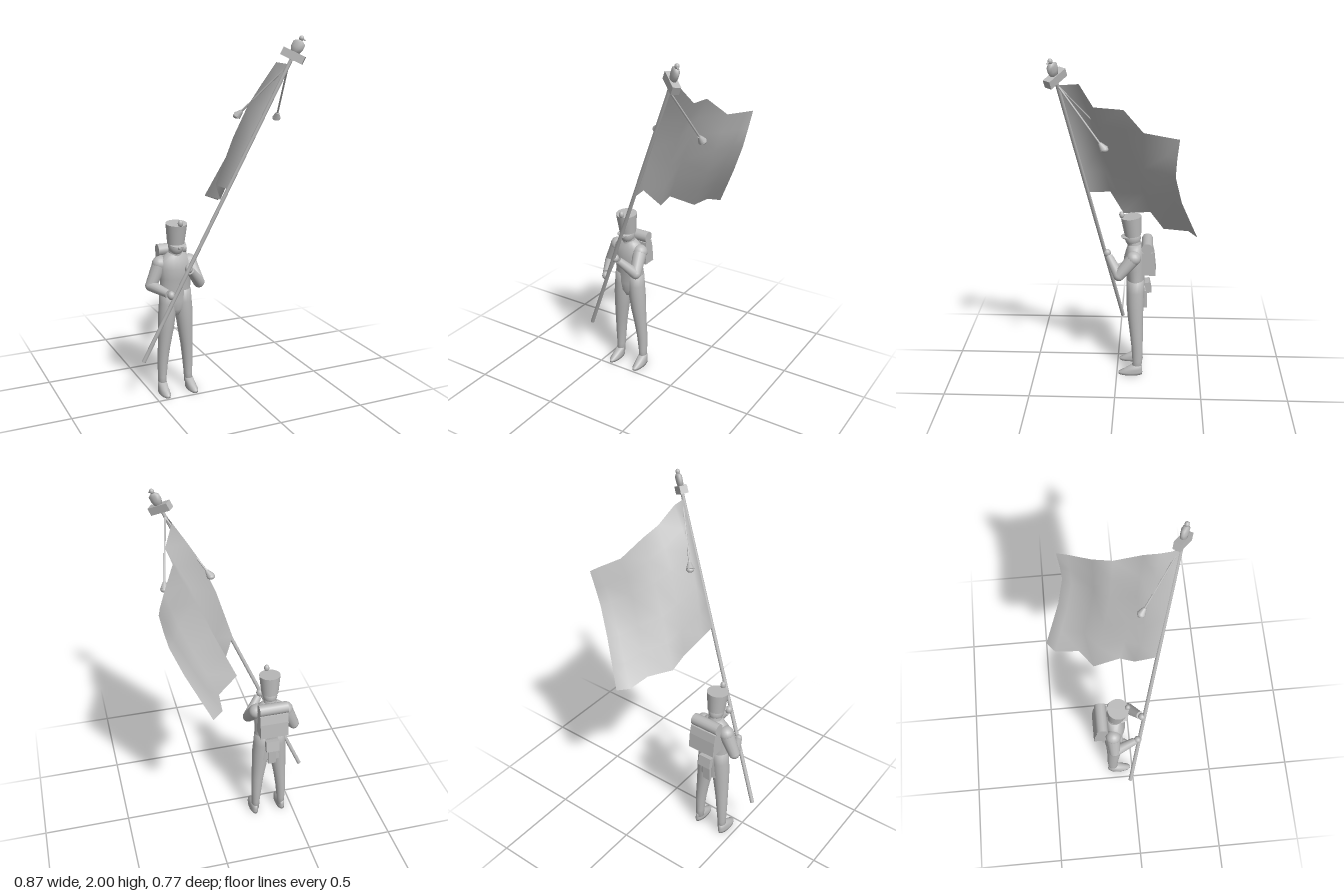
import * as THREE from 'three';

const V = (x, y, z) => new THREE.Vector3(x, y, z);

export function createModel() {
  const root = new THREE.Group();
  const grey = new THREE.MeshStandardMaterial({ color: 0xbababa, side: THREE.DoubleSide });
  grey.name = 'plain grey';

  const add = (name, geo, parent = root) => {
    const m = new THREE.Mesh(geo, grey);
    m.name = name;
    parent.add(m);
    return m;
  };
  const group = (name) => {
    const g = new THREE.Group();
    g.name = name;
    root.add(g);
    return g;
  };
  // Smooth body through elliptical rings [x, y, z, rx, rz], listed upwards
  const loft = (name, rings, parent, n = 20) => {
    const pos = [], idx = [];
    const first = rings[0], last = rings[rings.length - 1];
    const all = [[...first.slice(0, 3), 0.001, 0.001], ...rings, [...last.slice(0, 3), 0.001, 0.001]];
    all.forEach(([x, y, z, rx, rz], j) => {
      for (let i = 0; i < n; i++) {
        const a = (i / n) * Math.PI * 2;
        pos.push(x + rx * Math.cos(a), y, z + rz * Math.sin(a));
        if (j === all.length - 1) continue;
        const p = j * n + i, q = j * n + ((i + 1) % n);
        idx.push(p, p + n, q, q, p + n, q + n);
      }
    });
    const g = new THREE.BufferGeometry();
    g.setAttribute('position', new THREE.Float32BufferAttribute(pos, 3));
    g.setIndex(idx);
    g.computeVertexNormals();
    return add(name, g, parent);
  };
  // Tapered rod from a to b
  const rod = (name, a, b, ra, rb, parent) => {
    const m = add(name, new THREE.CylinderGeometry(rb, ra, a.distanceTo(b), 14), parent);
    m.position.copy(a).lerp(b, 0.5);
    m.quaternion.setFromUnitVectors(V(0, 1, 0), b.clone().sub(a).normalize());
    return m;
  };
  const ball = (name, p, rx, ry, rz, parent) => {
    const m = add(name, new THREE.SphereGeometry(1, 16, 12), parent);
    m.position.copy(p);
    m.scale.set(rx, ry, rz);
    return m;
  };
  const box = (name, p, w, h, d, parent) => {
    const m = add(name, new THREE.BoxGeometry(w, h, d), parent);
    m.position.copy(p);
    return m;
  };
  const CX = 0.147;

  // Legs and shoes
  for (const s of [-1, 1]) {
    const side = s > 0 ? 'left' : 'right';
    loft(side + 'Leg', [
      [CX + s * 0.08, 0.035, -0.122, 0.023, 0.029],
      [CX + s * 0.079, 0.09, -0.124, 0.024, 0.029],
      [CX + s * 0.076, 0.18, -0.123, 0.03, 0.034],
      [CX + s * 0.069, 0.27, -0.117, 0.035, 0.038],
      [CX + s * 0.058, 0.38, -0.111, 0.044, 0.046],
      [CX + s * 0.051, 0.47, -0.109, 0.05, 0.051],
      [CX + s * 0.046, 0.54, -0.109, 0.049, 0.052],
      [CX + s * 0.042, 0.61, -0.11, 0.048, 0.05]]);
    loft(side + 'Shoe', [
      [CX + s * 0.084, 0, -0.083, 0.027, 0.072],
      [CX + s * 0.084, 0.015, -0.083, 0.028, 0.073],
      [CX + s * 0.083, 0.034, -0.1, 0.026, 0.054],
      [CX + s * 0.081, 0.06, -0.12, 0.024, 0.032]]);
  }

  // Coat, blending into the hips
  loft('coat', [
    [CX, 0.465, -0.108, 0.02, 0.03],
    [CX, 0.5, -0.108, 0.06, 0.046],
    [CX, 0.55, -0.109, 0.09, 0.052],
    [CX, 0.61, -0.11, 0.089, 0.053],
    [CX, 0.68, -0.105, 0.088, 0.059],
    [CX, 0.74, -0.102, 0.098, 0.06],
    [CX, 0.785, -0.105, 0.092, 0.052],
    [CX, 0.812, -0.106, 0.06, 0.042],
    [CX, 0.825, -0.105, 0.04, 0.036]]);
  // Coat skirt wrapping the back of the hips
  const skirt = add('coatSkirt',
    new THREE.CylinderGeometry(0.093, 0.098, 0.16, 20, 1, true, Math.PI * 0.6, Math.PI * 0.8));
  skirt.position.set(CX, 0.515, -0.108);
  skirt.scale.z = 0.6;
  // Small hanging tail below the pouch
  box('coatTail', V(CX, 0.475, -0.17), 0.045, 0.11, 0.02);

  // Neck and head
  const head = group('head');
  rod('collar', V(CX, 0.795, -0.105), V(CX, 0.84, -0.1), 0.042, 0.037, head);
  ball('face', V(CX, 0.862, -0.093), 0.042, 0.052, 0.047, head);
  ball('nose', V(CX, 0.862, -0.043), 0.007, 0.011, 0.011, head);

  // Tall hat, flaring and tipped forward
  const hat = group('hat');
  hat.position.set(CX, 0.88, -0.094);
  hat.rotation.x = 0.1;
  add('hatBody', new THREE.CylinderGeometry(0.06, 0.048, 0.115, 24), hat).position.y = 0.057;
  ball('hatVisor', V(0, -0.002, 0.03), 0.044, 0.005, 0.04, hat);
  ball('pompon', V(0.003, 0.13, 0.052), 0.015, 0.02, 0.015, hat);

  // Arms gripping the pole
  const arm = (side, shoulder, elbow, hand) => {
    const g = group(side + 'Arm');
    ball('shoulder', shoulder, 0.044, 0.042, 0.043, g);
    rod('upperArm', shoulder, elbow, 0.042, 0.032, g);
    ball('elbow', elbow, 0.032, 0.032, 0.032, g);
    const wrist = elbow.clone().lerp(hand, 0.85);
    rod('forearm', elbow, wrist, 0.032, 0.022, g);
    ball('hand', hand, 0.021, 0.024, 0.022, g);
  };
  arm('left', V(0.226, 0.765, -0.1), V(0.25, 0.665, -0.015), V(0.162, 0.77, 0.056));
  arm('right', V(0.06, 0.765, -0.118), V(0.005, 0.645, -0.115), V(0.07, 0.622, 0.026));

  // Pack, deeper towards the bottom, with rolled blanket on top
  const pack = group('backpack');
  const side = new THREE.Shape([[-0.15, 0.66], [-0.15, 0.8], [-0.208, 0.8], [-0.22, 0.75], [-0.229, 0.66]]
    .map(([z, y]) => new THREE.Vector2(z, y)));
  const packBody = add('packBody',
    new THREE.ExtrudeGeometry(side, { depth: 0.164, bevelEnabled: false }).rotateY(-Math.PI / 2), pack);
  packBody.position.x = 0.234;
  rod('blanketRoll', V(0.068, 0.826, -0.178), V(0.234, 0.826, -0.178), 0.033, 0.033, pack);
  // Belt pouch
  const pouch = box('pouch', V(0.15, 0.56, -0.184), 0.078, 0.065, 0.03);
  pouch.rotation.x = 0.2;

  // Pole
  const base = V(-0.077, 0.24, -0.026), tip = V(0.65, 1.89, 0.268);
  rod('pole', base, tip, 0.0115, 0.0095);

  // Finial: crossways block with a small bird-shaped body on top
  const up = tip.clone().sub(base).normalize();
  const along = V(0.1, -0.06, 0.08);
  along.addScaledVector(up, -along.dot(up)).normalize();
  const finial = group('finial');
  finial.position.copy(tip);
  finial.quaternion.setFromRotationMatrix(
    new THREE.Matrix4().makeBasis(along, up, along.clone().cross(up)));
  box('block', V(0, 0.01, 0), 0.122, 0.042, 0.042, finial);
  loft('birdBody', [
    [0, 0.03, 0, 0.024, 0.016], [0, 0.055, 0, 0.033, 0.018],
    [0, 0.082, 0, 0.032, 0.018], [0, 0.095, 0, 0.012, 0.012]], finial, 12);
  ball('birdHead', V(0, 0.106, 0.002), 0.013, 0.014, 0.012, finial);
  rod('beak', V(0, 0.107, 0), V(0.022, 0.104, 0.004), 0.007, 0.003, finial);

  // Flag: ruled between jagged top and bottom edges, bellying in the middle
  const top = [[0.628, 1.858, 0.257], [0.617, 1.862, 0.16], [0.67, 1.76, 0.087],
    [0.66, 1.746, -0.06], [0.727, 1.65, -0.16], [0.77, 1.64, -0.28], [0.786, 1.635, -0.335]];
  const bottom = [[0.348, 1.21, 0.145], [0.334, 1.21, 0.025], [0.397, 1.11, -0.05],
    [0.366, 1.106, -0.195], [0.482, 1.055, -0.267], [0.495, 1.048, -0.4], [0.554, 1.037, -0.445]];
  const belly = [[0, 0], [-0.042, 0], [-0.02, 0.01], [0, 0.02], [0.018, 0.035], [0.03, 0.048], [0.036, 0.053]];
  const rows = [[0, 0], [0.17, 0.55], [0.34, 1], [0.6, 0.88], [0.8, 0.45], [1, 0]];
  const pos = [], idx = [], cols = top.length;
  rows.forEach(([t, bulge], j) => {
    for (let i = 0; i < cols; i++) {
      const p = V(...top[i]).lerp(V(...bottom[i]), t);
      pos.push(p.x + bulge * belly[i][0], p.y, p.z + bulge * belly[i][1]);
      if (i < cols - 1 && j < rows.length - 1) {
        const a = j * cols + i;
        idx.push(a, a + cols, a + 1, a + 1, a + cols, a + cols + 1);
      }
    }
  });
  const cloth = new THREE.BufferGeometry();
  cloth.setAttribute('position', new THREE.Float32BufferAttribute(pos, 3));
  cloth.setIndex(idx);
  cloth.computeVertexNormals();
  add('flag', cloth);

  // Cords with tassels on either side of the flag
  const knot = V(0.635, 1.85, 0.255);
  for (const end of [V(0.69, 1.57, 0.045), V(0.45, 1.595, 0.07)]) {
    const g = group('tasselCord');
    const dir = end.clone().sub(knot).normalize();
    rod('cord', knot, end, 0.005, 0.005, g);
    const neck = end.clone().addScaledVector(dir, -0.02), foot = end.clone().addScaledVector(dir, 0.018);
    rod('tassel', neck, foot, 0.009, 0.023, g);
    ball('tasselEnd', foot, 0.022, 0.016, 0.022, g);
  }
  return root;
}
